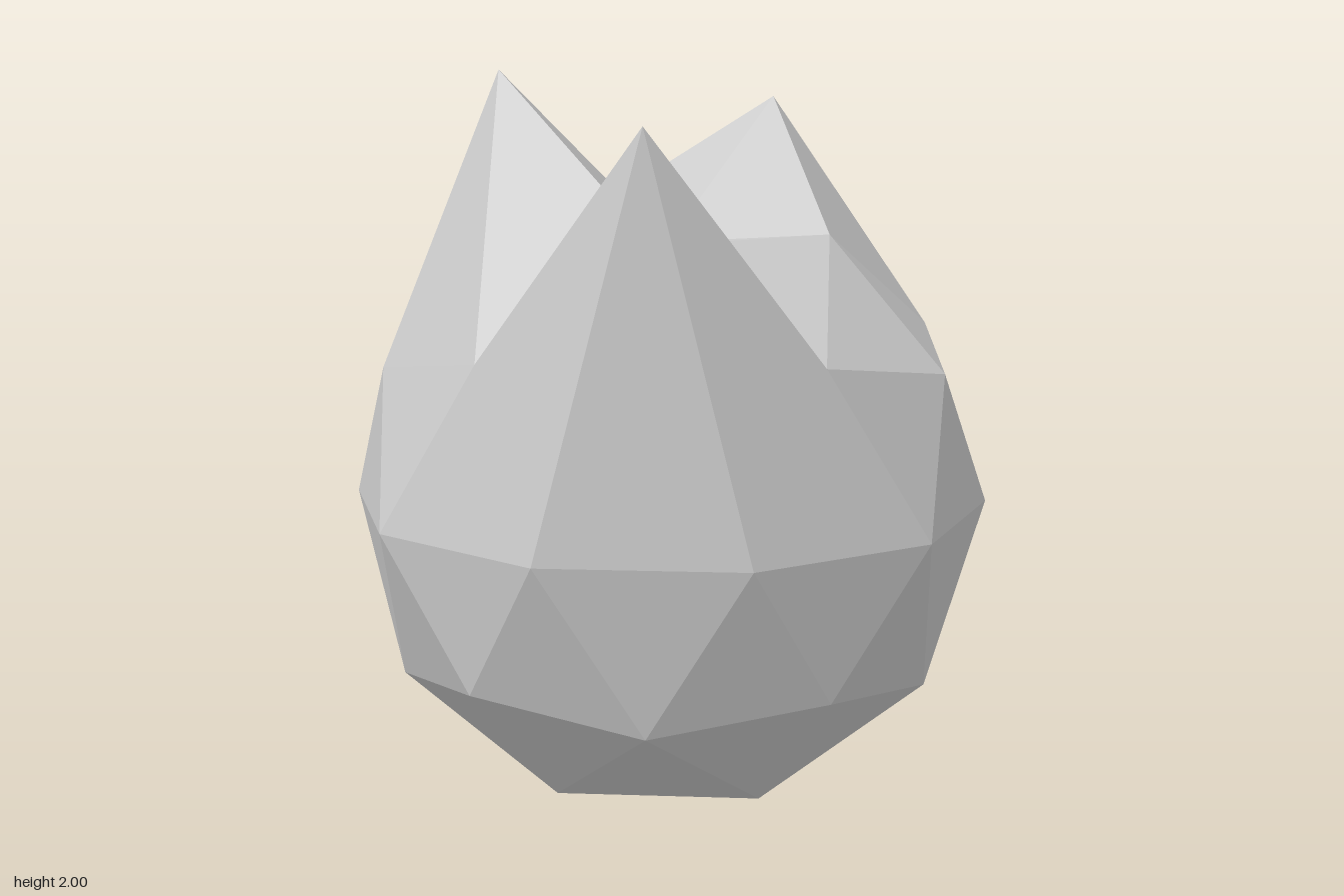
import * as THREE from 'three';

const R = 0.855;

// Points pulled away from the sphere: [x, z, new height]
const movedPoints = [
  [-0.364, 0.264, 2.0],    // tallest tip
  [0.139, -0.428, 1.915],  // back tip
  [0.236, 0.727, 1.89],    // front tip
  [0, 0, 1.545],           // sunken crown
];

export function createModel() {
  const group = new THREE.Group();
  group.name = 'spikedBud';

  // Low-poly sphere standing on one of its corners
  const geometry = new THREE.IcosahedronGeometry(R, 1);
  geometry.rotateX(-Math.atan((1 + Math.sqrt(5)) / 2));
  geometry.rotateY(Math.PI / 2);
  geometry.translate(0, R, 0);

  // Raise the tips and sink the crown on the upper half
  const pos = geometry.attributes.position;
  for (let i = 0; i < pos.count; i++) {
    if (pos.getY(i) < R * 1.2) continue;
    for (const [x, z, height] of movedPoints) {
      if (Math.hypot(pos.getX(i) - x, pos.getZ(i) - z) < 0.03) pos.setY(i, height);
    }
  }
  geometry.computeVertexNormals();

  const shell = new THREE.Mesh(
    geometry,
    new THREE.MeshStandardMaterial({ color: 0xcccccc, flatShading: true })
  );
  shell.name = 'shell';
  group.add(shell);
  return group;
}
